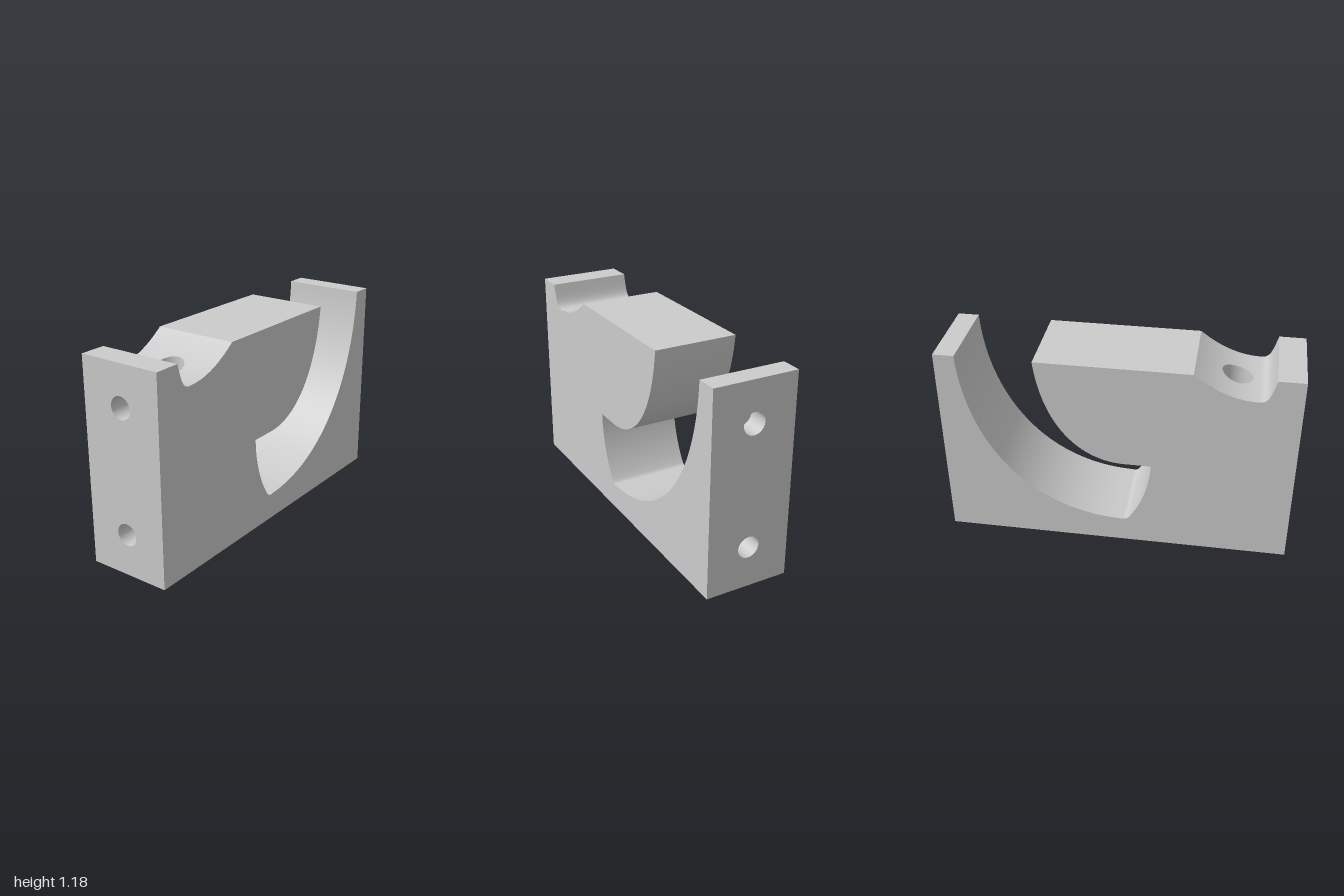
import * as THREE from 'three';

const W = 1, H = 1.176, D = 0.243;                 // half width, height, half depth
const NOTCH_X0 = -0.76, NOTCH_X1 = -0.415;         // sloped notch floor
const WELL = { x: -0.64, r: 0.085, bottom: 0.8 };  // hole in the notch floor
const BORE = { ys: [0.24, 0.942], r: 0.0625, depth: 0.12 }; // holes in the ends
const floorY = (x) => 1.04 + (H - 1.04) * ((x - NOTCH_X0) / (NOTCH_X1 - NOTCH_X0)) ** 2;

const v2 = (x, y) => new THREE.Vector2(x, y);
const line = (...p) => p.map(([x, y]) => v2(x, y));
const bezier = (a, b, c, d, n = 40) =>
  new THREE.CubicBezierCurve(v2(...a), v2(...b), v2(...c), v2(...d)).getPoints(n);

// Sweep one outline section from front to back
function wall(points) {
  const pos = [], index = [];
  points.forEach((p, i) => {
    pos.push(p.x, p.y, D, p.x, p.y, -D);
    const a = i * 2;
    if (i < points.length - 1) index.push(a, a + 1, a + 3, a, a + 3, a + 2);
  });
  const g = new THREE.BufferGeometry();
  g.setAttribute('position', new THREE.Float32BufferAttribute(pos, 3));
  g.setIndex(index);
  g.computeVertexNormals();
  return g;
}

// Sloped notch floor: rings that grow from the hole to the rectangular border
function notchFloor() {
  const rings = 14, n = 96, pos = [], index = [];
  const corners = [[NOTCH_X1, D], [NOTCH_X0, D], [NOTCH_X0, -D], [NOTCH_X1, -D]]
    .map(([x, z]) => Math.atan2(z, x - WELL.x));
  const angles = Array.from({ length: n }, (_, i) => -Math.PI + (i * 2 * Math.PI) / n)
    .concat(corners).sort((a, b) => a - b);
  for (const a of angles) {
    const c = Math.cos(a), s = Math.sin(a);
    const toX = ((c > 0 ? NOTCH_X1 : NOTCH_X0) - WELL.x) / (Math.abs(c) < 1e-6 ? 1e-6 : c);
    const reach = Math.min(Math.abs(toX), D / Math.max(Math.abs(s), 1e-6));
    for (let j = 0; j <= rings; j++) {
      const r = WELL.r + ((reach - WELL.r) * j) / rings;
      pos.push(WELL.x + c * r, floorY(WELL.x + c * r), s * r);
    }
  }
  const row = rings + 1;
  for (let i = 0; i < angles.length; i++) {
    const k = ((i + 1) % angles.length) * row;
    for (let j = 0; j < rings; j++) {
      const a = i * row + j, b = k + j;
      index.push(a, b, b + 1, a, b + 1, a + 1);
    }
  }
  const g = new THREE.BufferGeometry();
  g.setAttribute('position', new THREE.Float32BufferAttribute(pos, 3));
  g.setIndex(index);
  g.computeVertexNormals();
  return g;
}

export function createModel() {
  const model = new THREE.Group();
  const grey = new THREE.MeshStandardMaterial({ color: 0xcccccc });
  const inside = new THREE.MeshStandardMaterial({ color: 0xcccccc, side: THREE.DoubleSide });
  const add = (name, geometry, parent = model, material = grey) => {
    const m = new THREE.Mesh(geometry, material);
    m.name = name;
    parent.add(m);
    return m;
  };

  // Outline, counterclockwise, in sections that meet at sharp edges
  const notchRight = Array.from({ length: 25 }, (_, i) => {
    const x = NOTCH_X1 + ((NOTCH_X0 - NOTCH_X1) * i) / 24;
    return v2(x, floorY(x));
  });
  const slotCorner = bezier([-0.02, 0.155], [-0.065, 0.15], [-0.065, 0.155], [-0.09, 0.19], 12);
  const slotEnd = bezier([-0.09, 0.19], [-0.155, 0.29], [-0.198, 0.43], [-0.2, 0.556], 24);
  const slotOuter = bezier([0.88, H], [0.86, 0.62], [0.52, 0.17], [-0.02, 0.155], 56);
  const sections = {
    base: line([-W, 0], [W, 0]),
    rightEnd: line([W, 0], [W, H]),
    postTop: line([W, H], [0.88, H]),
    slotOuterWall: [...slotOuter, ...slotCorner.slice(1), ...slotEnd.slice(1)],
    slotRoof: [v2(-0.2, 0.556), ...bezier([-0.05, 0.556], [0.2, 0.556], [0.41, 0.77], [0.45, H])],
    blockTop: line([0.45, H], [NOTCH_X1, H]),
    notchRight,
    notchLeft: bezier([NOTCH_X0, 1.04], [-0.815, 1.035], [-0.825, 1.09], [-0.85, H], 20),
    cornerTop: line([-0.85, H], [-W, H]),
    leftEnd: line([-W, H], [-W, 0]),
  };

  // Front and back faces
  const outline = Object.values(sections).flatMap((s) => s.slice(0, -1));
  const face = new THREE.ShapeGeometry(new THREE.Shape(outline));
  add('frontFace', face).position.z = D;
  const mirrored = outline.map((p) => v2(-p.x, p.y)).reverse();
  const back = add('backFace', new THREE.ShapeGeometry(new THREE.Shape(mirrored)));
  back.rotation.y = Math.PI;
  back.position.z = -D;

  // Walls between the faces
  for (const [name, points] of Object.entries(sections)) {
    if (!['rightEnd', 'leftEnd', 'notchRight'].includes(name)) add(name, wall(points));
  }

  // Notch floor with its vertical hole
  add('notchFloor', notchFloor());
  const well = new THREE.CylinderGeometry(WELL.r, WELL.r, 1, 64, 1, true);
  const p = well.attributes.position;
  for (let i = 0; i < p.count; i++) {
    const x = p.getX(i) + WELL.x;
    p.setXYZ(i, x, p.getY(i) > 0 ? floorY(x) : WELL.bottom, p.getZ(i));
  }
  add('notchHoleWall', well, model, inside);
  const wellFloor = add('notchHoleFloor', new THREE.CircleGeometry(WELL.r, 64));
  wellFloor.rotation.x = -Math.PI / 2;
  wellFloor.position.set(WELL.x, WELL.bottom, 0);

  // End faces, each with two blind holes
  for (const side of [1, -1]) {
    const end = new THREE.Group();
    end.name = side > 0 ? 'leftEndFace' : 'rightEndFace';
    end.rotation.y = (side * Math.PI) / 2;
    end.position.x = side * W;
    const shape = new THREE.Shape(line([-D, 0], [D, 0], [D, H], [-D, H]));
    for (const y of BORE.ys) {
      shape.holes.push(new THREE.Path().absarc(0, y, BORE.r, 0, Math.PI * 2, true));
      const bore = new THREE.CylinderGeometry(BORE.r, BORE.r, BORE.depth, 48, 1, true);
      bore.rotateX(Math.PI / 2);
      add('endHoleWall', bore, end, inside).position.set(0, y, -BORE.depth / 2);
      add('endHoleFloor', new THREE.CircleGeometry(BORE.r, 48), end).position.set(0, y, -BORE.depth);
    }
    add('endPlate', new THREE.ShapeGeometry(shape, 24), end);
    model.add(end);
  }
  return model;
}
